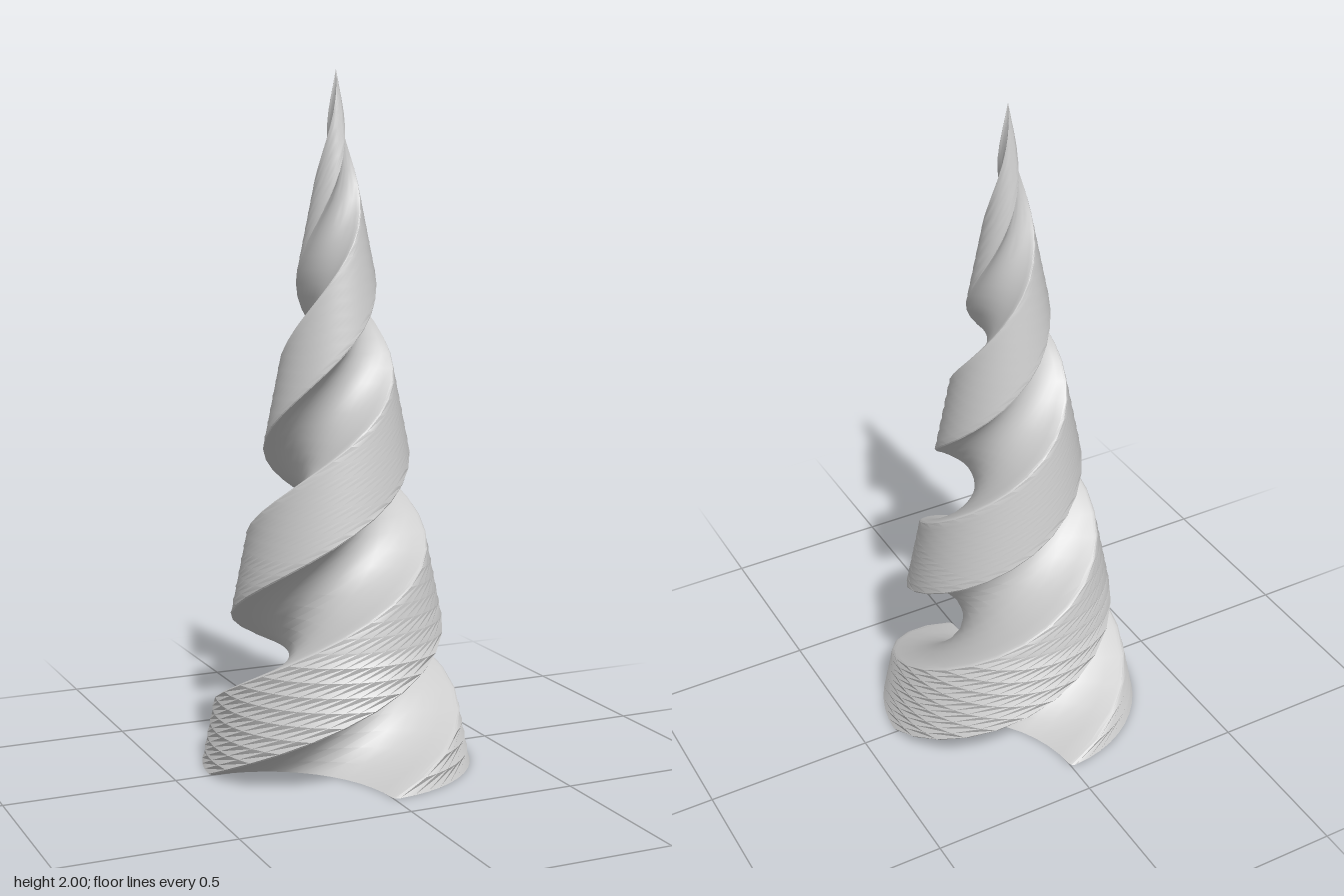
import * as THREE from 'three';
import { toCreasedNormals } from 'three/addons/utils/BufferGeometryUtils.js';

const RADIUS = 0.395, HEIGHT = 2, TURNS = 2, LAYERS = 50, ARC_STEPS = 12;

// Two-bladed cross-section as [x, z]: convex and concave quarter circles in turn,
// with slightly rounded corners where they meet.
function bladeSection() {
  const half = [];
  const trim = 0.04, tip = 0.012;
  const angle = i => trim + (Math.PI / 2 - 2 * trim) * i / ARC_STEPS;
  half.push([tip, 1 - tip]);
  for (let i = 0; i <= ARC_STEPS; i++) half.push([Math.sin(angle(i)), Math.cos(angle(i))]);
  half.push([1 - tip, tip]);
  for (let i = 0; i <= ARC_STEPS; i++) half.push([1 - Math.sin(angle(i)), Math.cos(angle(i)) - 1]);
  return [...half, ...half.map(([x, z]) => [-x, -z])];
}

// Sweep the section upward, turning it and shrinking it to a point.
function twistedCone() {
  const section = bladeSection(), n = section.length;
  const positions = [], index = [];
  for (let j = 0; j <= LAYERS; j++) {
    const t = j / LAYERS;
    const r = RADIUS * Math.max(1 - t, 0.001);
    const c = Math.cos(t * TURNS * 2 * Math.PI), s = Math.sin(t * TURNS * 2 * Math.PI);
    for (const [x, z] of section) {
      positions.push(r * (x * c + z * s), HEIGHT * t, r * (z * c - x * s));
    }
  }
  for (let j = 0; j < LAYERS; j++) {
    for (let i = 0; i < n; i++) {
      const k = (i + 1) % n;
      const a = j * n + i, b = j * n + k;
      index.push(a, b, b + n, a, b + n, a + n);
    }
  }
  const geometry = new THREE.BufferGeometry();
  geometry.setAttribute('position', new THREE.Float32BufferAttribute(positions, 3));
  geometry.setIndex(index);
  return toCreasedNormals(geometry, 0.7);
}

export function createModel() {
  const group = new THREE.Group();
  group.name = 'spiralCone';
  // Hollow shell, open at the bottom
  const material = new THREE.MeshStandardMaterial({ color: 0xcccccc, side: THREE.DoubleSide });
  const shell = new THREE.Mesh(twistedCone(), material);
  shell.name = 'twistedShell';
  group.add(shell);
  return group;
}
